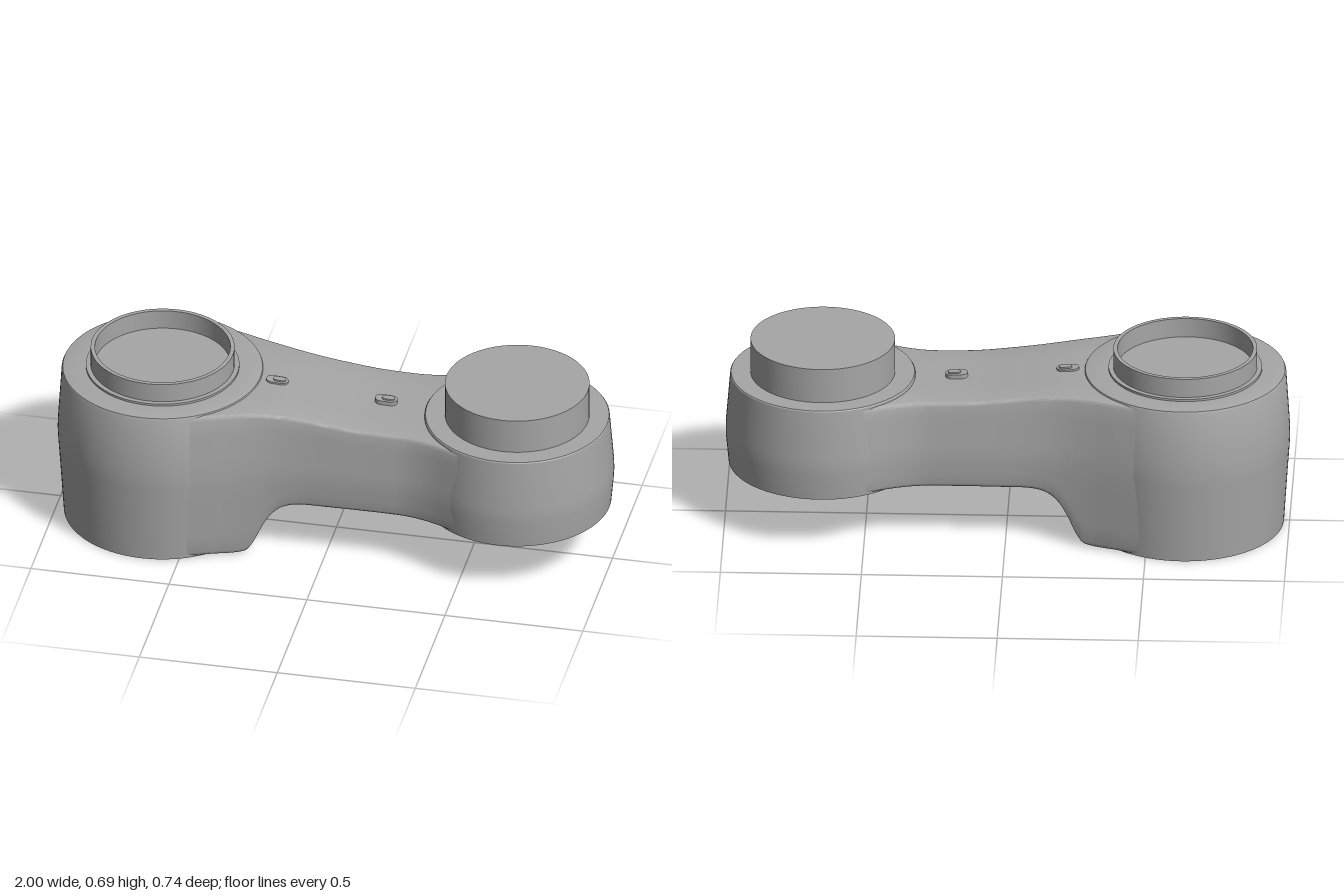
import * as THREE from 'three';
import { toCreasedNormals } from 'three/addons/utils/BufferGeometryUtils.js';

const LEFT_X = -0.63, RIGHT_X = 0.655, MID_Y = 0.34;

// Smooth function through [x, value] points (cubic Hermite)
function curve(pts) {
  const slope = (i) => {
    const a = pts[Math.max(i - 1, 0)], b = pts[Math.min(i + 1, pts.length - 1)];
    return (b[1] - a[1]) / (b[0] - a[0]);
  };
  return (x) => {
    let i = 0;
    while (i < pts.length - 2 && x > pts[i + 1][0]) i++;
    const [x0, y0] = pts[i], [x1, y1] = pts[i + 1], h = x1 - x0;
    const t = (x - x0) / h, t2 = t * t, t3 = t2 * t;
    return (2 * t3 - 3 * t2 + 1) * y0 + (t3 - 2 * t2 + t) * h * slope(i)
      + (3 * t2 - 2 * t3) * y1 + (t3 - t2) * h * slope(i + 1);
  };
}

const halfWidth = curve([[-0.5, 0.345], [-0.4, 0.312], [-0.3, 0.278], [-0.2, 0.252], [-0.1, 0.239],
  [0, 0.235], [0.25, 0.234], [0.32, 0.24], [0.4, 0.262], [0.5, 0.305]]);
const topY = curve([[-0.5, 0.584], [-0.27, 0.584], [-0.18, 0.579], [-0.05, 0.565], [0.1, 0.549],
  [0.25, 0.544], [0.5, 0.547]]);
const bottomY = curve([[-0.5, 0.004], [-0.4, 0.006], [-0.28, 0.012], [-0.25, 0.05], [-0.22, 0.115],
  [-0.19, 0.165], [-0.15, 0.2], [-0.1, 0.215], [0, 0.217], [0.5, 0.217]]);

// Cross-section of the link at x: sides lean in above and below the middle height
function section(x) {
  const yT = topY(x), yB = bottomY(x), f = 0.014;
  const wide = (y) => halfWidth(x) - 0.065 * Math.abs(y - MID_Y);
  const half = [];
  const wB = wide(yB) - f, wT = wide(yT) - f;
  for (let i = 0; i <= 12; i++) {
    const z = wB * i / 12;
    // lift the underside where it lies within the hub, clear of the socket
    half.push([z, Math.hypot(x - LEFT_X, z) < 0.33 ? Math.max(yB, 0.15) : yB]);
  }
  for (let i = 1; i <= 3; i++) {
    const a = i / 3 * Math.PI / 2;
    half.push([wB + f * Math.sin(a), yB + f * (1 - Math.cos(a))]);
  }
  for (let i = 1; i < 8; i++) {
    const y = yB + f + (yT - yB - 2 * f) * i / 8;
    half.push([wide(y), y]);
  }
  for (let i = 0; i <= 3; i++) {
    const a = i / 3 * Math.PI / 2;
    half.push([wT + f * Math.cos(a), yT - f * (1 - Math.sin(a))]);
  }
  half.push([wT / 2, yT], [0, yT]);
  return [...half, ...half.slice(0, -1).reverse().map(([z, y]) => [-z, y])];
}

function linkGeometry() {
  const steps = 100, pos = [], idx = [];
  let n = 0;
  for (let i = 0; i <= steps; i++) {
    const x = -0.5 + i / steps, ring = section(x);
    n = ring.length;
    ring.forEach(([z, y]) => pos.push(x, y, z));
  }
  for (let i = 0; i < steps; i++) {
    for (let j = 0; j < n - 1; j++) {
      const a = i * n + j, b = a + n;
      idx.push(a, b, b + 1, a, b + 1, a + 1);
    }
  }
  const g = new THREE.BufferGeometry();
  g.setAttribute('position', new THREE.Float32BufferAttribute(pos, 3));
  g.setIndex(idx);
  return toCreasedNormals(g, 0.6);
}

function turned(profile) {
  return toCreasedNormals(new THREE.LatheGeometry(profile.map(([r, y]) => new THREE.Vector2(r, y)), 96), 0.5);
}

// Flat pill lying in the xz plane, rising from y = 0
function pill(length, width, height) {
  const r = width / 2, d = length / 2 - r, s = new THREE.Shape();
  s.absarc(d, 0, r, -Math.PI / 2, Math.PI / 2);
  s.absarc(-d, 0, r, Math.PI / 2, Math.PI * 1.5);
  return new THREE.ExtrudeGeometry(s, { depth: height, bevelEnabled: false, curveSegments: 12 }).rotateX(-Math.PI / 2);
}

export function createModel() {
  const model = new THREE.Group();
  const grey = new THREE.MeshStandardMaterial({ color: 0xa6a6a6 });
  grey.name = 'castingGrey';
  const add = (name, geometry, x, y = 0, z = 0) => {
    const m = new THREE.Mesh(geometry, grey);
    m.name = name;
    m.position.set(x, y, z);
    model.add(m);
    return m;
  };

  // Tall hub with a socket below and an open collar on top
  add('tallHub', turned([[0, 0.09], [0.245, 0.09], [0.245, 0], [0.35, 0], [0.363, 0.2], [0.37, 0.3],
    [0.372, MID_Y], [0.37, 0.39], [0.358, 0.58], [0.354, 0.589], [0.348, 0.591], [0.272, 0.591],
    [0.272, 0.599], [0.255, 0.599], [0.255, 0.67], [0.24, 0.67], [0.24, 0.598], [0, 0.598]]), LEFT_X);

  // Short hub and the solid boss it carries
  add('shortHub', turned([[0, 0.212], [0.334, 0.212], [0.343, 0.31], [0.344, MID_Y], [0.343, 0.37],
    [0.328, 0.552], [0.325, 0.556], [0, 0.556]]), RIGHT_X);
  add('outputBoss', turned([[0, 0.55], [0.256, 0.55], [0.256, 0.686], [0, 0.686]]), RIGHT_X);

  // Waisted link between the hubs
  add('link', linkGeometry(), 0);

  // Fastener pads on top
  for (const [x, y, tilt] of [[-0.215, 0.572, -0.07], [0.18, 0.545, -0.04]]) {
    add('topPad', pill(0.08, 0.046, 0.016), x, y).rotation.z = tilt;
    add('topPadCap', pill(0.046, 0.026, 0.021), x + 0.008, y).rotation.z = tilt;
  }

  // Screw heads underneath
  for (const z of [-0.125, 0.125]) {
    add('lowerScrew', new THREE.CylinderGeometry(0.032, 0.03, 0.014, 24), 0.145, 0.217, z);
    add('lowerScrewTip', new THREE.CylinderGeometry(0.014, 0.014, 0.018, 16), 0.145, 0.216, z);
  }
  return model;
}
